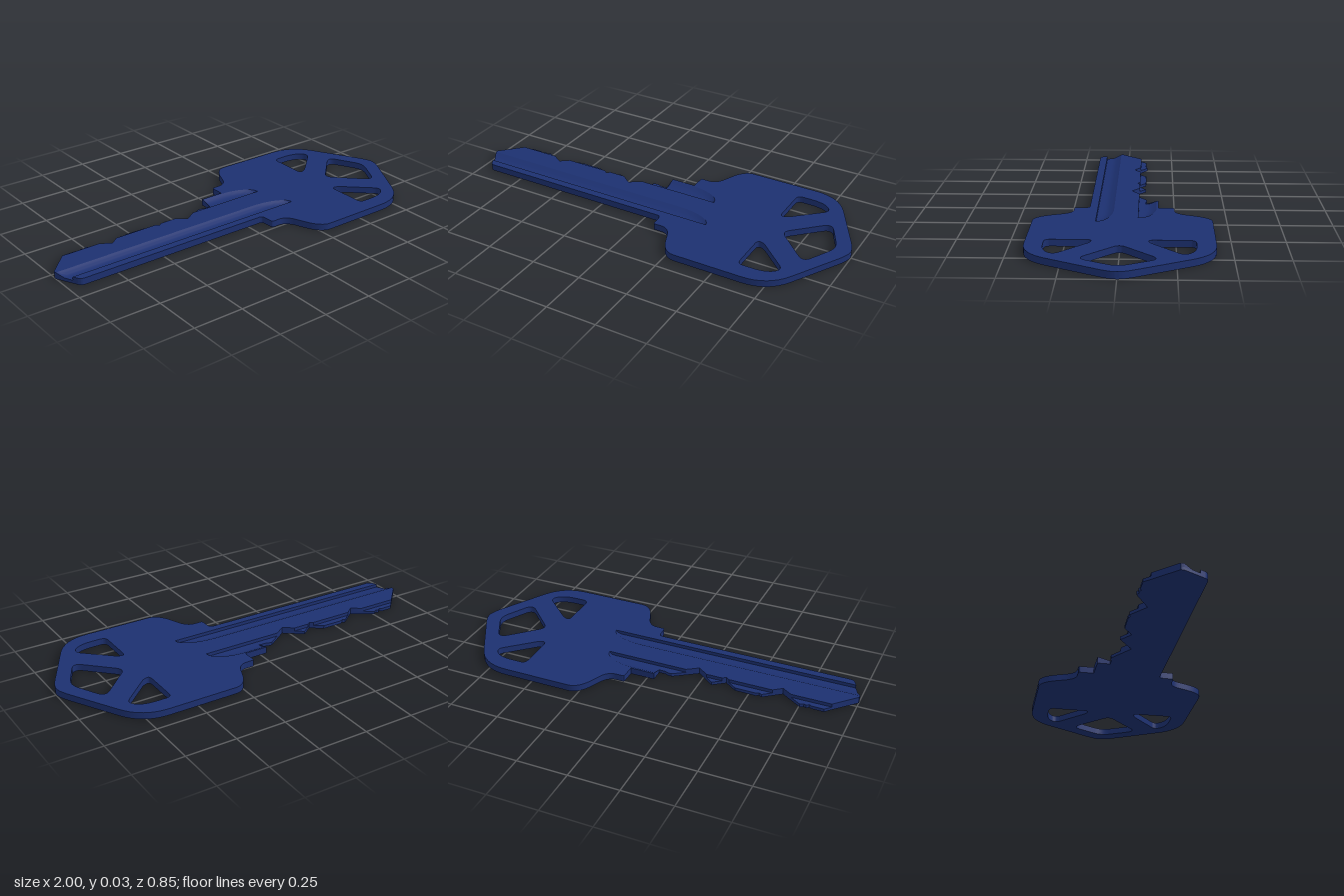
import * as THREE from 'three';
import { toCreasedNormals } from 'three/addons/utils/BufferGeometryUtils.js';

const HEIGHT = 0.033, BASE = 0.013, DEPTH = 0.017;

// Closed outline through [x, z, cornerRadius] points
function outline(points, PathType = THREE.Shape) {
  const path = new PathType();
  const n = points.length;
  points.forEach(([x, z, r = 0], i) => {
    const p = new THREE.Vector2(x, -z);
    const near = ([qx, qz]) => {
      const d = new THREE.Vector2(qx, -qz).sub(p);
      return p.clone().add(d.setLength(Math.min(r, d.length() * 0.49)));
    };
    const a = near(points[(i + n - 1) % n]), b = near(points[(i + 1) % n]);
    if (i === 0) path.moveTo(a.x, a.y); else path.lineTo(a.x, a.y);
    if (r > 0) path.quadraticCurveTo(p.x, p.y, b.x, b.y);
  });
  path.closePath();
  return path;
}

// Flat slab between two heights, pierced by the bow holes
function slab(points, holes, y0, y1) {
  const shape = outline(points);
  shape.holes = holes.map(h => outline(h, THREE.Path));
  const g = new THREE.ExtrudeGeometry(shape, { depth: y1 - y0, bevelEnabled: false, curveSegments: 8 });
  g.rotateX(-Math.PI / 2).translate(0, y0, 0);
  return toCreasedNormals(g, 0.6);
}

// Scooped groove floor over stations {x, back, front, start}, with skirts down to the base slab
function grooveFloor(stations) {
  const pos = [], index = [], n = 10, cols = n + 3;
  for (const { x, back, front, start } of stations) {
    pos.push(x, BASE, back);
    for (let j = 0; j <= n; j++) {
      const z = back + (front - back) * j / n;
      const s = THREE.MathUtils.clamp((z - start) / 0.05, 0, 1);
      pos.push(x, HEIGHT - DEPTH * Math.sin(s * Math.PI / 2), z);
    }
    pos.push(x, BASE, front);
  }
  for (let i = 0; i < stations.length - 1; i++) {
    for (let j = 0; j < cols - 1; j++) {
      const a = i * cols + j, c = a + cols;
      index.push(a, a + 1, c, a + 1, c + 1, c);
    }
  }
  const g = new THREE.BufferGeometry();
  g.setAttribute('position', new THREE.Float32BufferAttribute(pos, 3));
  g.setIndex(index);
  return toCreasedNormals(g, 0.6);
}

// Rounded run-out of a groove: its back edge sweeps over to the front edge
function runOut(x0, x1, back, front) {
  return Array.from({ length: 13 }, (_, i) => {
    const t = Math.sin(i / 12 * Math.PI / 2);
    const z = back + (front - back) * (1 - Math.sqrt(Math.max(0, 1 - t * t)));
    return { x: x0 + (x1 - x0) * t, back: z, front, start: z };
  });
}

export function createModel() {
  const group = new THREE.Group();
  const material = new THREE.MeshStandardMaterial({ color: 0x1c3070 });
  const add = (name, geometry) => {
    const mesh = new THREE.Mesh(geometry, material);
    mesh.name = name;
    group.add(mesh);
  };

  // Blade underside edge, shoulders and bow
  const outer = [
    [-0.94, 0.165, 0.02], [0.085, 0.165, 0.02], [0.088, 0.24, 0.01],
    [0.175, 0.24, 0.06], [0.245, 0.425, 0.15], [0.36, 0.425, 0.08],
    [0.775, 0.425, 0.13], [0.985, 0.05, 0.04], [1.0, 0, 0.03], [0.985, -0.05, 0.04],
    [0.775, -0.428, 0.13], [0.36, -0.428, 0.08], [0.245, -0.428, 0.15],
    [0.175, -0.25, 0.06], [0.088, -0.25, 0.01], [0.088, -0.172], [-0.035, -0.172],
  ];

  // Key cuts from the tip to the shoulder
  const cuts = [
    [-1, 0.03], [-0.87, -0.105], [-0.81, -0.105], [-0.797, -0.098], [-0.785, -0.108],
    [-0.772, -0.103], [-0.755, -0.112], [-0.65, -0.042], [-0.565, -0.108], [-0.55, -0.1],
    [-0.535, -0.108], [-0.43, -0.106], [-0.37, -0.062], [-0.31, -0.106], [-0.22, -0.036],
    [-0.105, -0.115], [-0.085, -0.115], [-0.07, -0.108], [-0.035, -0.108],
  ];

  // Add a point wherever the cuts cross the front edge of the side groove
  const EDGE = -0.075;
  const bitting = [];
  cuts.forEach(([x, z], i) => {
    if (i > 0) {
      const [px, pz] = cuts[i - 1];
      if ((pz - EDGE) * (z - EDGE) < 0) bitting.push([px + (x - px) * (EDGE - pz) / (z - pz), EDGE]);
    }
    bitting.push([x, z]);
  });

  // Bow holes: a mirrored pair and one at the end
  const sideHole = s => [
    [0.585, 0.125 * s, 0.03], [0.62, 0.132 * s, 0.02], [0.785, 0.285 * s, 0.04],
    [0.725, 0.34 * s, 0.07], [0.585, 0.34 * s, 0.03],
  ];
  const endHole = [[0.652, 0, 0.04], [0.835, -0.18, 0.05], [0.93, 0, 0.05], [0.835, 0.18, 0.05]];
  const holes = [sideHole(1), sideHole(-1), endHole];

  // Long groove from the slanted tip into the bow
  const longBack = 0.045, longFront = 0.125;
  const longEnd = runOut(0.12, 0.31, longBack, longFront);
  const tip = [-1, -0.98, -0.96].map(x => ({
    x, back: longBack, front: Math.min(longFront, longBack + (x + 1) * 2), start: longBack,
  }));

  // Side groove running under the key cuts
  const sideBack = -0.163;
  const sideEnd = runOut(0.08, 0.25, sideBack, EDGE);
  const sideStations = [
    ...bitting.map(([x, z]) => ({ x, back: z, front: Math.max(EDGE, z), start: sideBack })),
    { x: -0.035, back: sideBack, front: EDGE, start: sideBack },
    ...sideEnd,
  ];

  const cutsBack = [...bitting].reverse();
  const basePoints = [...outer, ...cutsBack, [-1, longBack]];
  const topPoints = [
    ...outer,
    [-0.035, sideBack], ...sideEnd.map(s => [s.x, s.back]),
    ...cutsBack.map(([x, z]) => [x, Math.max(z, EDGE)]),
    [-1, longBack], ...longEnd.map(s => [s.x, s.back]),
    [-0.96, longFront],
  ];

  add('keyBase', slab(basePoints, holes, 0, BASE));
  add('keyTop', slab(topPoints, holes, BASE, HEIGHT));
  add('longGroove', grooveFloor([...tip, ...longEnd]));
  add('sideGroove', grooveFloor(sideStations));
  return group;
}
